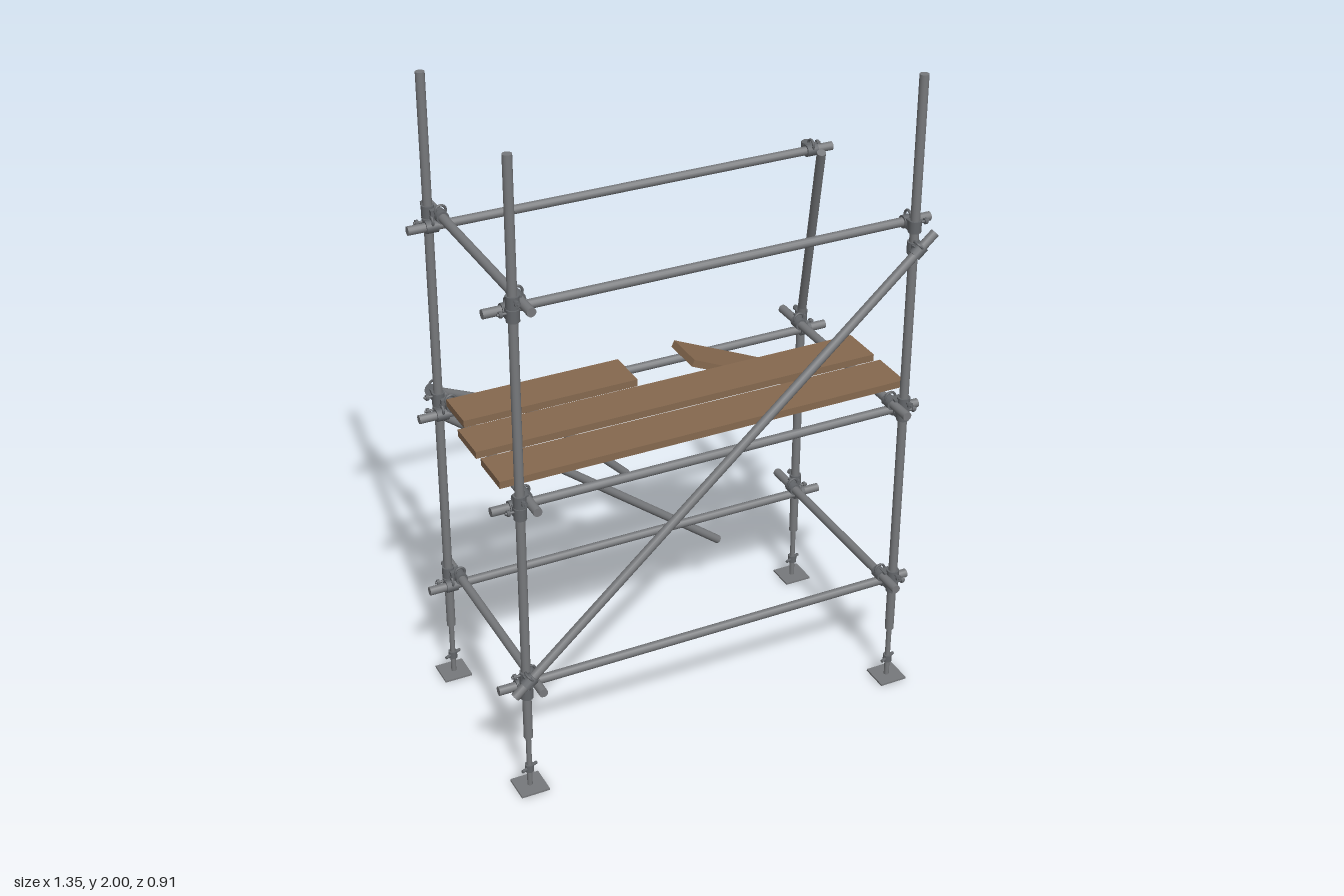
import * as THREE from 'three';

const steel = new THREE.MeshStandardMaterial({ name: 'tube steel', color: 0x77797c });
const clampSteel = new THREE.MeshStandardMaterial({ name: 'clamp steel', color: 0x64676b });
const wood = new THREE.MeshStandardMaterial({ name: 'plank wood', color: 0x86694f });

const V = (x, y, z) => new THREE.Vector3(x, y, z);
const UP = V(0, 1, 0);
const R = 0.0135;

function add(parent, name, geometry, material, x = 0, y = 0, z = 0) {
  const mesh = new THREE.Mesh(geometry, material);
  mesh.name = name;
  mesh.position.set(x, y, z);
  parent.add(mesh);
  return mesh;
}

// Straight round bar between two points
function bar(parent, name, a, b, r = R, material = steel, sides = 14) {
  const d = b.clone().sub(a);
  const mesh = add(parent, name, new THREE.CylinderGeometry(r, r, d.length(), sides), material);
  mesh.position.copy(a).addScaledVector(d, 0.5);
  mesh.quaternion.setFromUnitVectors(UP, d.normalize());
  return mesh;
}

// Bent pipe: straight runs joined by rounded knees
function bentPipe(parent, name, points) {
  const group = new THREE.Group();
  group.name = name;
  points.forEach((p, i) => {
    if (i === 0) return;
    bar(group, 'pipeRun', points[i - 1], p);
    if (i < points.length - 1) {
      add(group, 'pipeKnee', new THREE.SphereGeometry(R, 14, 8), steel, p.x, p.y, p.z);
    }
  });
  parent.add(group);
}

// Sleeve gripping a tube, with a raised lip at each end
function sleeve(parent, p, dir, length = 0.036) {
  const half = dir.clone().normalize().multiplyScalar(length / 2);
  bar(parent, 'sleeve', p.clone().sub(half), p.clone().add(half), 0.019, clampSteel, 12);
}

// Swinging eye bolt with a nut on its tip
function eyeBolt(parent, p, dir) {
  const tip = p.clone().addScaledVector(dir, 0.032);
  bar(parent, 'bolt', p, tip, 0.004, clampSteel, 8);
  bar(parent, 'nut', p.clone().addScaledVector(dir, 0.018), p.clone().addScaledVector(dir, 0.027), 0.009, clampSteel, 6);
}

// Two sleeves, a joining block and bolts, linking tubes at a and b
function coupler(parent, a, dirA, b, dirB, outward) {
  const group = new THREE.Group();
  group.name = 'coupler';
  sleeve(group, a, dirA);
  sleeve(group, b, dirB);
  const mid = a.clone().add(b).multiplyScalar(0.5);
  add(group, 'couplerBlock', new THREE.BoxGeometry(0.03, 0.03, 0.03), clampSteel, mid.x, mid.y, mid.z);
  eyeBolt(group, a.clone().addScaledVector(outward, 0.012).addScaledVector(UP, 0.008), outward);
  const loop = add(group, 'couplerLoop', new THREE.TorusGeometry(0.016, 0.004, 6, 14), clampSteel, b.x, b.y, b.z);
  loop.position.y += 0.016;
  loop.quaternion.setFromUnitVectors(V(0, 0, 1), dirB.clone().normalize());
  parent.add(group);
}

export function createModel() {
  const model = new THREE.Group();
  model.name = 'damagedScaffold';
  const PX = 0.604, TX = 0.578;
  const levels = [0.34, 0.945, 1.55];
  const rows = [{ post: 0.386, ledger: 0.348 }, { post: -0.222, ledger: -0.2 }];
  const alongX = V(1, 0, 0), alongZ = V(0, 0, 1);

  // Posts on screw jacks; the back post at +x is snapped over
  for (const s of [-1, 1]) {
    for (const { post: z } of rows) {
      const x = s * PX;
      if (s > 0 && z < 0) {
        bentPipe(model, 'bentPost', [V(x, 0.18, z), V(x, 0.97, z), V(x - 0.004, 1.02, z + 0.012), V(0.505, 1.65, 0.03)]);
      } else {
        bar(model, 'post', V(x, 0.18, z), V(x, 2, z));
      }
      const jack = new THREE.Group();
      jack.name = 'screwJack';
      jack.position.set(x, 0, z);
      bar(jack, 'screw', V(0, 0.003, 0), V(0, 0.2, 0), 0.008);
      add(jack, 'basePlate', new THREE.BoxGeometry(0.088, 0.006, 0.088), steel, 0, 0.003, 0);
      bar(jack, 'adjusterNut', V(0, 0.056, 0), V(0, 0.08, 0), 0.014, clampSteel, 8);
      bar(jack, 'adjusterHandle', V(-0.027, 0.068, 0.012), V(0.027, 0.068, -0.012), 0.005, clampSteel, 8);
      model.add(jack);
    }
  }

  // Long ledgers, cross transoms and the couplers at every corner
  levels.forEach((y, i) => {
    const ty = y + 0.031;
    for (const { ledger: z } of rows) {
      bar(model, 'ledger', V(-0.675, y, z), V(0.675, y, z));
    }
    for (const s of [-1, 1]) {
      const missing = i === 2 && s > 0;
      if (!missing) bar(model, 'transom', V(s * TX, ty, 0.45), V(s * TX, ty, -0.295));
      for (const { post, ledger } of rows) {
        const side = Math.sign(post);
        coupler(model, V(s * PX, y, post), UP, V(s * PX, y, ledger), alongX, V(s, 0, 0));
        if (!missing) {
          coupler(model, V(s * PX, ty + 0.008, post), UP, V(s * TX, ty, post - side * 0.032), alongZ, V(0, 0, side));
        }
      }
    }
  });

  // Long diagonal brace across the front
  const low = V(-0.65, 0.355, 0.412), high = V(0.655, 1.53, 0.412);
  const slope = high.clone().sub(low).normalize();
  bar(model, 'frontBrace', low, high);
  for (const [x, y] of [[-PX, 0.396], [PX, 1.485]]) {
    coupler(model, V(x, y, 0.386), UP, V(x, y, 0.412), slope, V(Math.sign(x), 0, 0));
  }

  // Fallen back braces, one straight and one buckled
  bar(model, 'fallenBrace', V(-0.615, 0.95, -0.205), V(0.33, 0.215, -0.235));
  bentPipe(model, 'buckledBrace', [
    V(-0.61, 0.995, -0.262), V(-0.31, 0.81, -0.39), V(-0.25, 0.765, -0.408), V(0.1, 0.415, -0.443),
  ]);
  coupler(model, V(-PX, 0.99, -0.222), UP, V(-0.605, 0.995, -0.258), V(0.3, -0.19, -0.13), V(-1, 0, 0));

  // Deck planks: two whole, one broken in half
  const plank = (name, length, x, y, z) =>
    add(model, name, new THREE.BoxGeometry(length, 0.022, 0.136), wood, x, y, z);
  plank('frontPlank', 1.275, -0.002, 1.013, 0.266);
  plank('middlePlank', 1.275, -0.002, 1.013, 0.094);
  plank('brokenPlankHalf', 0.545, -0.335, 1.013, -0.078);
  plank('fallenPlankHalf', 0.47, 0.333, 0.94, -0.075).rotation.z = -0.417;

  return model;
}
